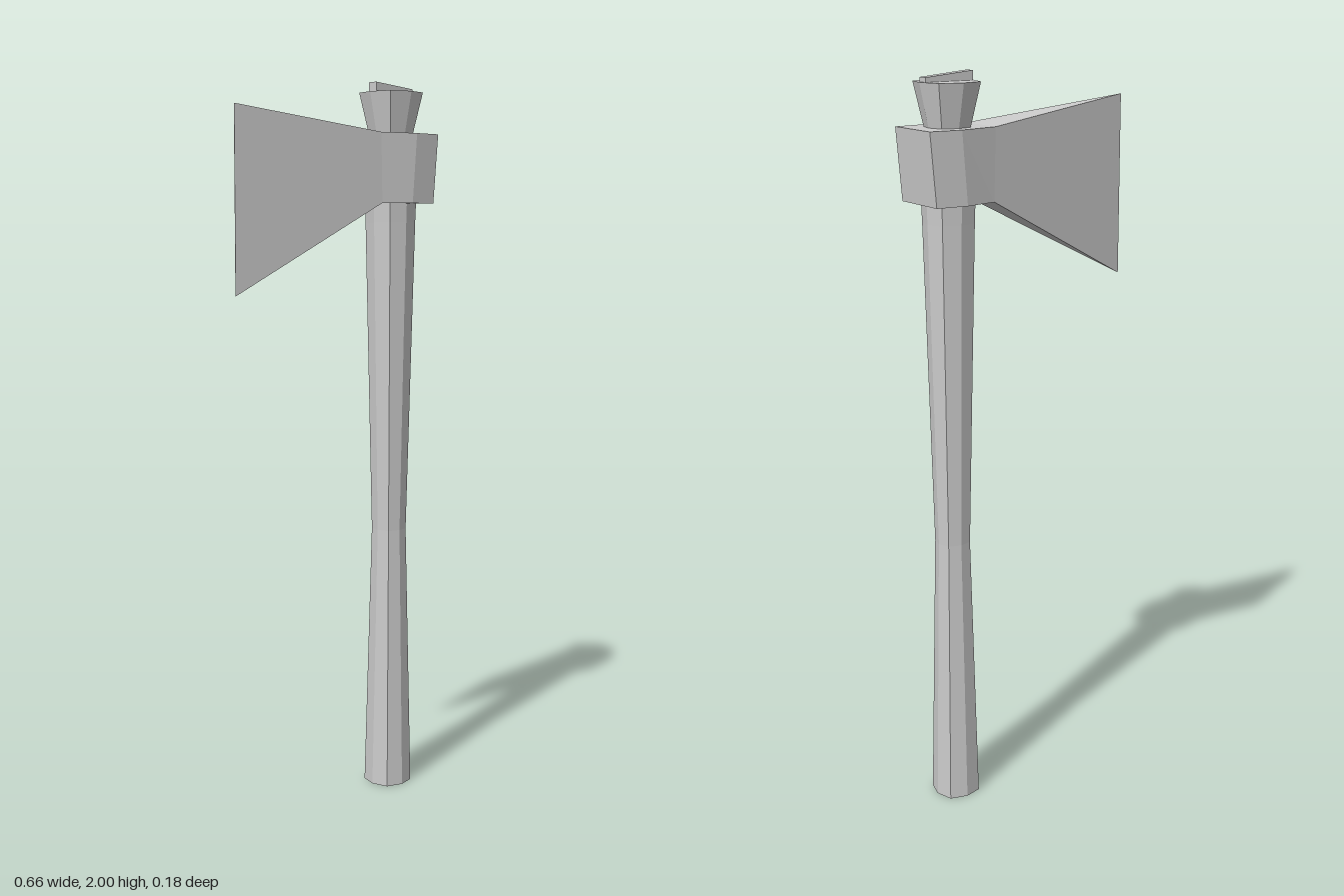
import * as THREE from 'three';

const AXIS_X = 0.227; // handle centre line
const material = new THREE.MeshStandardMaterial({ color: 0xcccccc, flatShading: true });

function addPart(group, name, geometry) {
  const flat = geometry.index ? geometry.toNonIndexed() : geometry;
  flat.computeVertexNormals();
  const mesh = new THREE.Mesh(flat, material);
  mesh.name = name;
  group.add(mesh);
  return mesh;
}

// Eight-sided handle, waisted in the middle and flared above the head
function handleGeometry() {
  const profile = [
    [0, 0], [0.061, 0], [0.044, 0.75], [0.063, 1.62], [0.065, 1.68],
    [0.055, 1.86], [0.08, 1.975], [0, 1.975],
  ].map(([r, y]) => new THREE.Vector2(r, y));
  const geo = new THREE.LatheGeometry(profile, 8);
  const p = geo.attributes.position;
  // push the diagonal corners out a little, towards a rounded square
  for (let i = 0; i < p.count; i++) {
    const x = p.getX(i), z = p.getZ(i);
    const k = Math.abs(x * z) > 1e-6 ? 1.1 : 1;
    p.setXYZ(i, x * k, p.getY(i), z * k);
  }
  return geo;
}

// Head lofted through four-cornered sections from cutting edge to poll
function headGeometry() {
  // [top x, top y, bottom x, bottom y, half thickness]
  const sections = [
    [-0.33, 1.92, -0.33, 1.43, 0.0005],
    [0.125, 1.862, 0.13, 1.672, 0.068],
    [0.24, 1.862, 0.225, 1.672, 0.09],
    [0.33, 1.862, 0.313, 1.672, 0.083],
  ];
  const positions = [], index = [];
  for (const [tx, ty, bx, by, h] of sections) {
    positions.push(tx, ty, h, tx, ty, -h, bx, by, -h, bx, by, h);
  }
  for (let s = 0; s < sections.length - 1; s++) {
    for (let j = 0; j < 4; j++) {
      const a = s * 4 + j, b = s * 4 + (j + 1) % 4;
      index.push(a, a + 4, b, b, a + 4, b + 4);
    }
  }
  const e = (sections.length - 1) * 4;
  index.push(0, 1, 2, 0, 2, 3, e, e + 2, e + 1, e, e + 3, e + 2);
  const geo = new THREE.BufferGeometry();
  geo.setAttribute('position', new THREE.Float32BufferAttribute(positions, 3));
  geo.setIndex(index);
  return geo;
}

// Thin wedge driven into the handle top, its upper face sloping
function wedgeGeometry() {
  const shape = new THREE.Shape([
    [-0.07, 1.95], [0.07, 1.95], [0.07, 1.987], [-0.07, 2.0],
  ].map(([x, y]) => new THREE.Vector2(x, y)));
  return new THREE.ExtrudeGeometry(shape, { depth: 0.028, bevelEnabled: false })
    .translate(0, 0, -0.014);
}

export function createModel() {
  const axe = new THREE.Group();
  axe.name = 'axe';
  addPart(axe, 'handle', handleGeometry()).position.x = AXIS_X;
  addPart(axe, 'wedge', wedgeGeometry()).position.x = AXIS_X;
  addPart(axe, 'axeHead', headGeometry());
  return axe;
}
